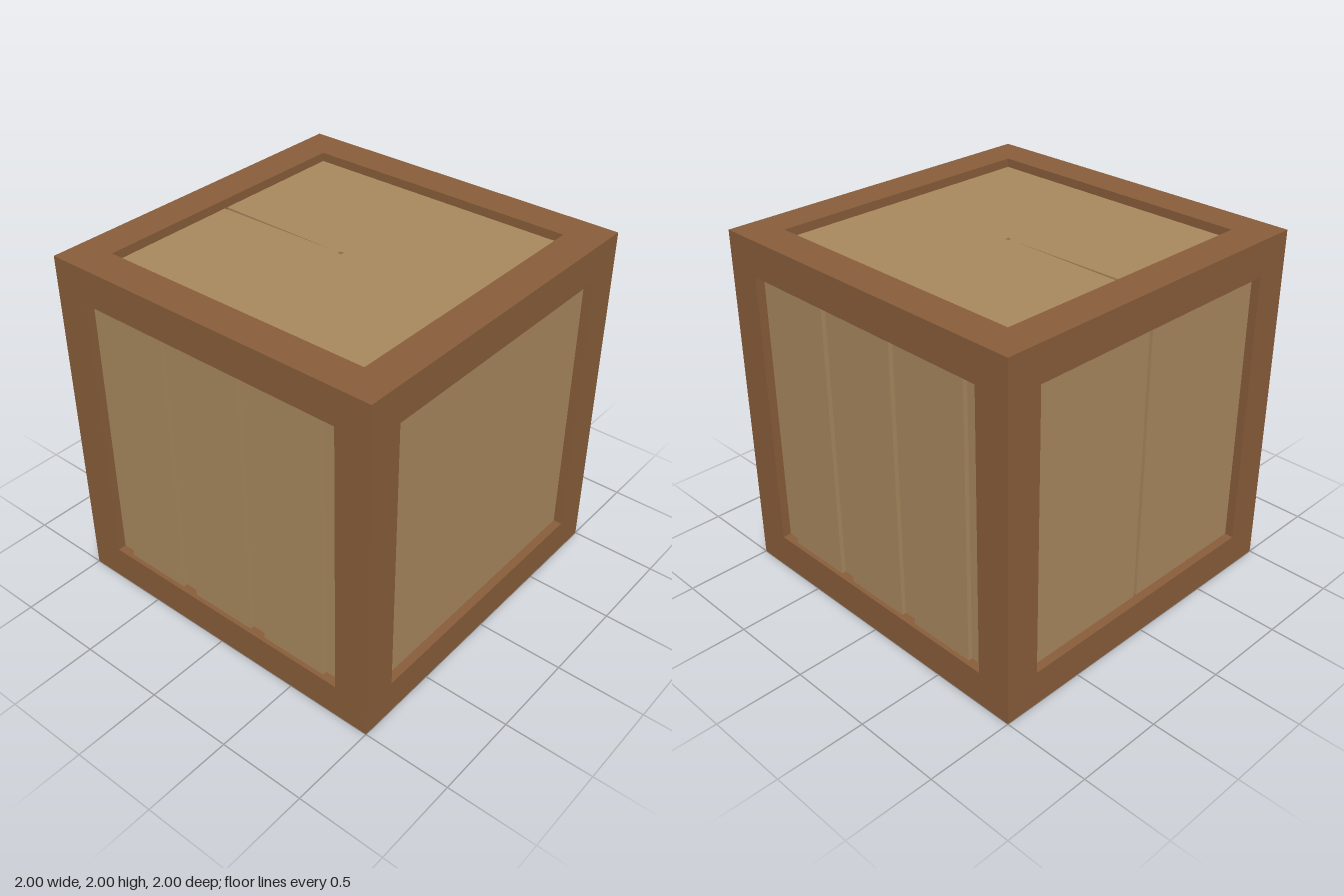
import * as THREE from 'three';
import { mergeGeometries } from 'three/addons/utils/BufferGeometryUtils.js';

const HALF = 1, OPENING = 0.8, PANEL = 0.95, SLAT_FACE = 0.975;

export function createModel() {
  const crate = new THREE.Group();
  crate.name = 'crate';
  const frameWood = new THREE.MeshStandardMaterial({ color: 0x8b5f3b });
  frameWood.name = 'frame wood';
  const panelWood = new THREE.MeshStandardMaterial({ color: 0xab8a5f });
  panelWood.name = 'panel wood';

  const add = (geometry, material, name, y = 0, z = 0, x = 0) => {
    const mesh = new THREE.Mesh(geometry, material);
    mesh.name = name;
    mesh.position.set(x, y, z);
    crate.add(mesh);
    return mesh;
  };

  // Outer frame: one square ring with reveal walls, turned onto all six faces
  const d = Math.SQRT2;
  const profile = [[HALF * d, HALF], [OPENING * d, HALF], [OPENING * d, 0.9]]
    .map(([r, y]) => new THREE.Vector2(r, y));
  const ring = new THREE.LatheGeometry(profile, 4, Math.PI / 4).toNonIndexed();
  ring.computeVertexNormals();
  const q = Math.PI / 2;
  const turns = [[0, 0], [2 * q, 0], [q, 0], [-q, 0], [0, q], [0, -q]];
  const rings = turns.map(([rx, rz]) => ring.clone().rotateX(rx).rotateZ(rz));
  add(mergeGeometries(rings), frameWood, 'frame', HALF);

  // Inner panel box, with a narrow tapering split running in from the left
  const gap = 0.012, pin = 0.012;
  const outline = new THREE.Shape([
    [-PANEL, -PANEL], [PANEL, -PANEL], [PANEL, PANEL], [-PANEL, PANEL],
    [-PANEL, gap], [-0.08, 0.0008], [-0.08, -0.0008], [-PANEL, -gap],
  ].map(([x, y]) => new THREE.Vector2(x, y)));
  // Small square hole at the centre
  outline.holes.push(new THREE.Path(
    [[-pin, -pin], [-pin, pin], [pin, pin], [pin, -pin]].map(([x, y]) => new THREE.Vector2(x, y))
  ));
  const core = new THREE.ExtrudeGeometry(outline, { depth: 2 * PANEL, bevelEnabled: false });
  core.translate(0, 0, -PANEL).rotateX(-q);
  add(core, panelWood, 'panels', HALF);

  // Three raised slats on the front and three on the back
  const thickness = 0.035;
  const slat = new THREE.BoxGeometry(0.4, 1.8, thickness);
  for (const [side, label] of [[1, 'front'], [-1, 'back']]) {
    [-0.5, 0, 0.5].forEach((x, i) =>
      add(slat, panelWood, `${label}Slat${i + 1}`, HALF, side * (SLAT_FACE - thickness / 2), x));
  }
  return crate;
}
